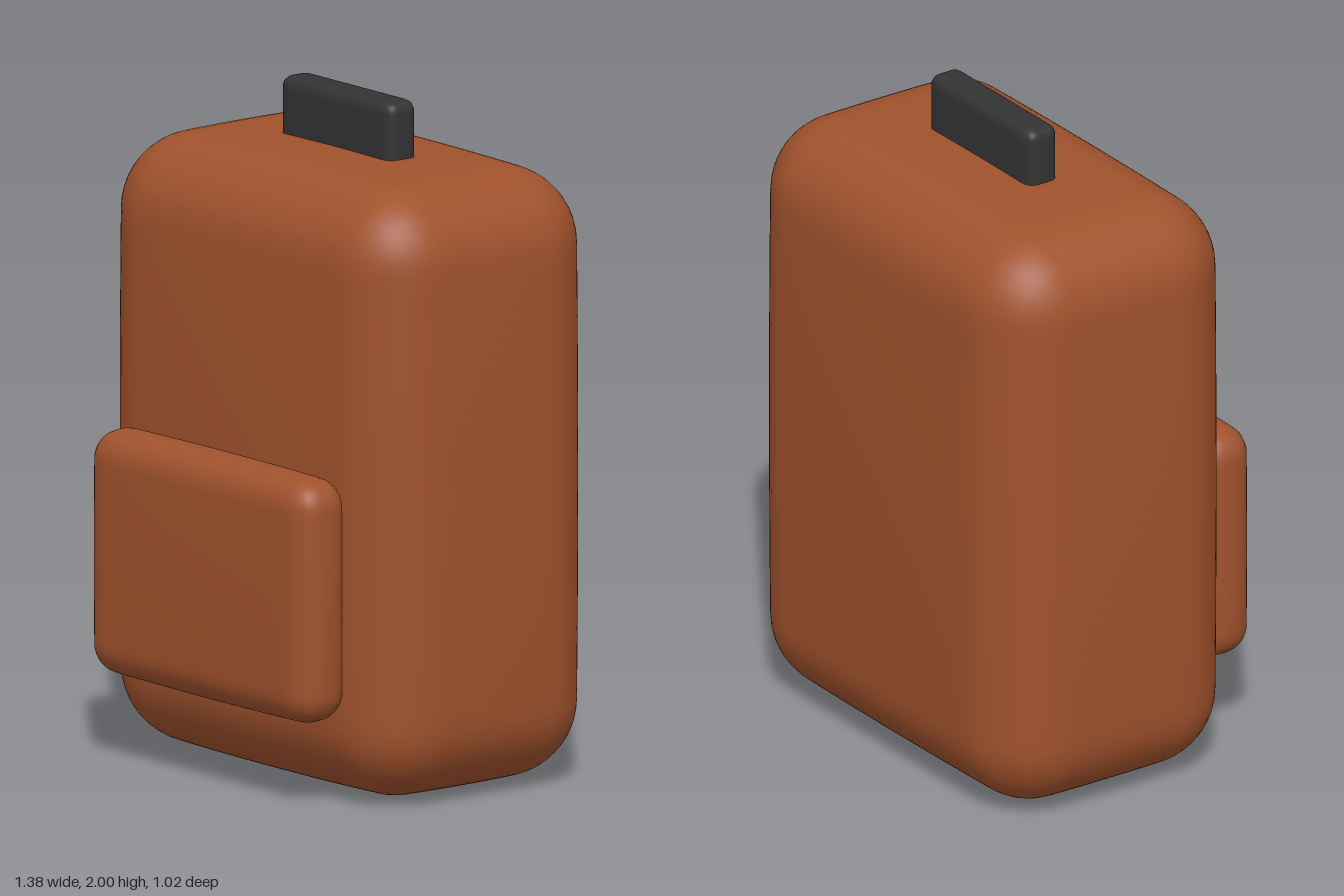
import * as THREE from 'three';
import { mergeVertices } from 'three/addons/utils/BufferGeometryUtils.js';

// Rounded, slightly puffed box given by its outer size, corner radius and bulge
function softBox(w, h, d, r, bulge, n) {
  const half = new THREE.Vector3(w / 2 - bulge, h / 2 - bulge, d / 2 - bulge);
  const inner = half.clone().subScalar(r);
  const geo = new THREE.BoxGeometry(half.x * 2, half.y * 2, half.z * 2, n, n, n);
  const pos = geo.attributes.position;
  const p = new THREE.Vector3(), core = new THREE.Vector3();
  for (let i = 0; i < pos.count; i++) {
    p.fromBufferAttribute(pos, i);
    core.copy(p).clamp(inner.clone().negate(), inner);
    p.sub(core).setLength(r).add(core);
    // puff each face outwards, most at its middle
    const t = p.clone().divide(half);
    const f = (a) => Math.max(0, 1 - a * a);
    p.x += bulge * t.x * f(t.y) * f(t.z);
    p.y += bulge * t.y * f(t.x) * f(t.z);
    p.z += bulge * t.z * f(t.x) * f(t.y);
    pos.setXYZ(i, p.x, p.y, p.z);
  }
  geo.deleteAttribute('uv');
  geo.deleteAttribute('normal');
  const merged = mergeVertices(geo, 1e-5);
  merged.computeVertexNormals();
  return merged;
}

export function createModel() {
  const group = new THREE.Group();
  const fabric = new THREE.MeshStandardMaterial({ color: 0xa0522d });
  fabric.name = 'brown fabric';
  const rubber = new THREE.MeshStandardMaterial({ color: 0x333333 });
  rubber.name = 'dark grey grip';

  const add = (name, geo, material, x, y, z) => {
    const mesh = new THREE.Mesh(geo, material);
    mesh.name = name;
    mesh.position.set(x, y, z);
    group.add(mesh);
  };

  // main bag
  add('body', softBox(1.38, 1.83, 0.87, 0.22, 0.02, 40), fabric, 0, 0.918, -0.077);
  // pouch on the front
  add('frontPocket', softBox(1.02, 0.73, 0.2, 0.085, 0.006, 30), fabric, 0, 0.625, 0.41);
  // grip on top
  add('handle', softBox(0.51, 0.22, 0.11, 0.035, 0, 24), rubber, 0, 1.89, -0.075);

  return group;
}
